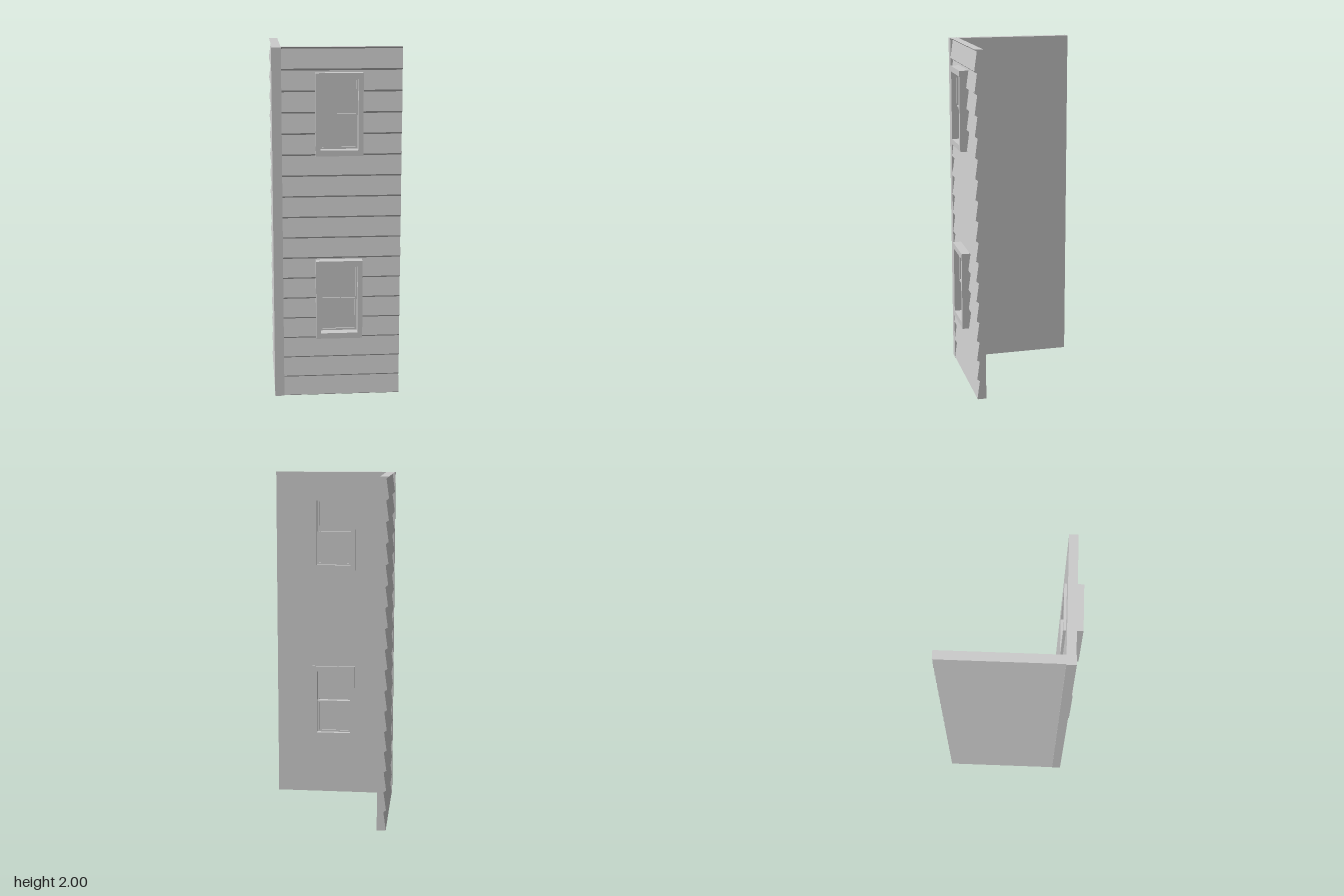
import * as THREE from 'three';

const material = new THREE.MeshStandardMaterial({ color: 0xcccccc, flatShading: true });
const HEIGHT = 2, PITCH = 0.1175, THICK = 0.052, LAP = 0.015, INNER_Z = 0.286;

function add(parent, name, geometry, x = 0, y = 0, z = 0) {
  const mesh = new THREE.Mesh(geometry, material);
  mesh.name = name;
  mesh.position.set(x, y, z);
  parent.add(mesh);
}

function box(parent, name, x0, x1, y0, y1, z0, z1) {
  add(parent, name, new THREE.BoxGeometry(x1 - x0, y1 - y0, z1 - z0),
    (x0 + x1) / 2, (y0 + y1) / 2, (z0 + z1) / 2);
}

// Outline of the lapped boards as [depth, height] points, reaching past both wall ends
const lapPoints = [];
for (let i = -1; i < 18; i++) {
  const bottom = 0.0045 + i * PITCH;
  lapPoints.push([THICK, bottom], [THICK - LAP, bottom + PITCH - 0.011]);
}

function depthAt(y) {
  const i = lapPoints.findIndex((p) => p[1] > y);
  const [a, b] = [lapPoints[i - 1], lapPoints[i]];
  return a[0] + (b[0] - a[0]) * (y - a[1]) / (b[1] - a[1]);
}

// Clapboard wall piece between two heights, extruded along its length
function sidingGeometry(length, y0, y1) {
  const shape = new THREE.Shape();
  shape.moveTo(0, y0);
  shape.lineTo(depthAt(y0), y0);
  for (const [d, y] of lapPoints) if (y > y0 && y < y1) shape.lineTo(d, y);
  shape.lineTo(depthAt(y1), y1);
  shape.lineTo(0, y1);
  shape.closePath();
  return new THREE.ExtrudeGeometry(shape, { depth: length, bevelEnabled: false });
}

function frontSiding(parent, x0, x1, y0, y1) {
  const geometry = sidingGeometry(x1 - x0, y0, y1).rotateY(-Math.PI / 2);
  add(parent, 'frontSiding', geometry, x1, 0, INNER_Z);
}

// Traces a rectangle on a shape or path
function rect(target, x0, x1, y0, y1) {
  target.moveTo(x0, y0);
  target.lineTo(x1, y0);
  target.lineTo(x1, y1);
  target.lineTo(x0, y1);
  target.closePath();
  return target;
}

// Rectangular frame with an opening
function frame(parent, name, x0, x1, y0, y1, z0, z1, side, rail) {
  const shape = rect(new THREE.Shape(), x0, x1, y0, y1);
  shape.holes.push(rect(new THREE.Path(), x0 + side, x1 - side, y0 + rail, y1 - rail));
  const geometry = new THREE.ExtrudeGeometry(shape, { depth: z1 - z0, bevelEnabled: false });
  add(parent, name, geometry, 0, 0, z0);
}

// Double-hung window: the upper sash sits further out than the lower one
function createWindow(y0) {
  const group = new THREE.Group();
  group.name = 'window';
  const y1 = y0 + 0.455, mid = y0 + 0.227;
  frame(group, 'casing', -0.122, 0.14, y0, y1, 0.272, 0.376, 0.027, 0.032);
  const sash = (name, a, b, z) => {
    frame(group, name + 'Sash', -0.095, 0.113, a, b, z, z + 0.024, 0.011, 0.01);
    box(group, name + 'Pane', -0.085, 0.103, a + 0.009, b - 0.009, z + 0.009, z + 0.015);
  };
  sash('upper', mid - 0.005, y1 - 0.032, 0.322);
  sash('lower', y0 + 0.032, mid + 0.005, 0.298);
  return group;
}

export function createModel() {
  const model = new THREE.Group();
  model.name = 'houseCorner';

  // Front wall around the two window openings
  frontSiding(model, -0.306, -0.108, 0, HEIGHT);
  frontSiding(model, 0.126, 0.358, 0, HEIGHT);
  let from = 0;
  for (const y of [0.355, 1.408]) {
    frontSiding(model, -0.108, 0.126, from, y + 0.015);
    from = y + 0.44;
    model.add(createWindow(y));
  }
  frontSiding(model, -0.108, 0.126, from, HEIGHT);

  // Side wall, boards facing outwards
  add(model, 'sideSiding', sidingGeometry(0.669, 0, HEIGHT).rotateY(Math.PI), -0.306, 0, 0.289);

  // Corner post joining the walls
  box(model, 'cornerPost', -0.359, -0.306, 0, HEIGHT, 0.286, 0.338);
  return model;
}
